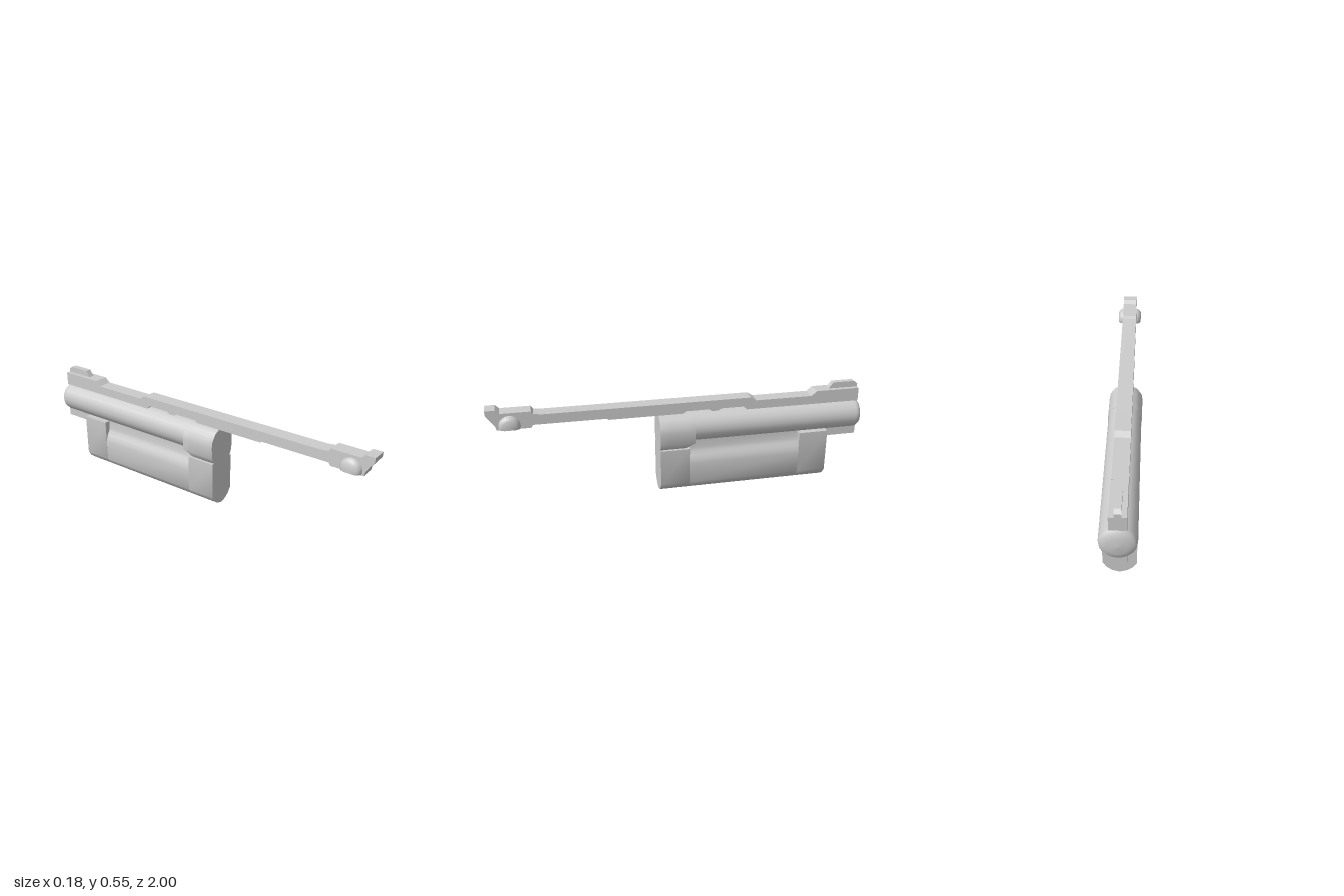
import * as THREE from 'three';
import { toCreasedNormals } from 'three/addons/utils/BufferGeometryUtils.js';

const material = new THREE.MeshStandardMaterial({ color: 0xcccccc });
const CREASE = 0.7;

function part(name, geometry) {
  const mesh = new THREE.Mesh(geometry, material);
  mesh.name = name;
  return mesh;
}

const shapeOf = (points) => new THREE.Shape(points.map(([x, y]) => new THREE.Vector2(x, y)));

// Side outline of [z, y] points, extruded across x
function sideExtrude(points, halfWidth) {
  const g = new THREE.ExtrudeGeometry(shapeOf(points), { depth: halfWidth * 2, bevelEnabled: false });
  g.translate(0, 0, -halfWidth).rotateY(-Math.PI / 2);
  return toCreasedNormals(g, 0.4);
}

// Right half of a cross-section (bottom to top), mirrored and extruded from zBack to zFront
function sectionExtrude(half, zBack, zFront, steps = 1) {
  const other = half.filter(([x]) => x > 0).map(([x, y]) => [-x, y]).reverse();
  const g = new THREE.ExtrudeGeometry(shapeOf([...half, ...other]), { depth: zFront - zBack, bevelEnabled: false, steps });
  return g.translate(0, 0, zBack);
}

export function createModel() {
  const model = new THREE.Group();

  // Long top arm with stepped upper edge and relieved underside
  model.add(part('topArm', sideExtrude([
    [1, 0.545], [0.95, 0.545], [0.93, 0.526], [0.775, 0.526], [0.765, 0.511], [0.72, 0.506],
    [-0.37, 0.506], [-0.4, 0.487], [-0.71, 0.487], [-0.74, 0.512], [-0.98, 0.512], [-0.98, 0.44],
    [-0.35, 0.44], [-0.33, 0.458], [-0.21, 0.458], [-0.19, 0.447], [-0.16, 0.447], [-0.14, 0.458],
    [-0.02, 0.458], [0, 0.446], [0.39, 0.446], [0.4, 0.453], [0.77, 0.453], [0.78, 0.438],
    [0.95, 0.438], [0.955, 0.46], [0.998, 0.52],
  ], 0.04)));

  // Narrow ridge at the rear of the arm
  model.add(part('rearRidge', sideExtrude([
    [-0.81, 0.505], [-0.84, 0.545], [-0.96, 0.545], [-0.98, 0.53], [-0.98, 0.505],
  ], 0.016)));

  // Rounded knobs at the arm's front, cut flat underneath
  const knobProfile = [[0, -0.067], [0.034, -0.067], [0.046, -0.06], [0.055, -0.045],
    [0.055, 0.045], [0.046, 0.06], [0.034, 0.067], [0, 0.067]].map(([r, y]) => new THREE.Vector2(r, y));
  const knob = new THREE.LatheGeometry(knobProfile, 20).rotateZ(Math.PI / 2);
  const kp = knob.attributes.position;
  for (let i = 0; i < kp.count; i++) kp.setY(i, Math.max(kp.getY(i), -0.014));
  knob.translate(0, 0.457, 0.885);
  model.add(part('frontKnobs', toCreasedNormals(knob, CREASE)));

  // Main tube with a domed rear end
  const tubeProfile = [[0.086, -0.1], [0.086, 0.96], [0.083, 0.977], [0.074, 0.988], [0.045, 0.997], [0, 1]]
    .map(([r, y]) => new THREE.Vector2(r, y));
  const tube = new THREE.LatheGeometry(tubeProfile, 20).rotateX(-Math.PI / 2).scale(1, 0.96, 1).translate(0, 0.361, 0);
  model.add(part('mainTube', tube));

  // Front collar of the tube, narrowing to a neck and rising underneath at its back
  const collar = sectionExtrude([
    [0.062, 0.255], [0.071, 0.262], [0.085, 0.29], [0.089, 0.355], [0.084, 0.387], [0.058, 0.424], [0.028, 0.438],
  ], -0.06, 0.13, 4);
  const cp = collar.attributes.position;
  for (let i = 0; i < cp.count; i++) if (cp.getZ(i) < -0.05) cp.setY(i, Math.max(cp.getY(i), 0.285));
  model.add(part('tubeCollar', toCreasedNormals(collar, CREASE)));

  // Lower body: front block, recessed middle and taller rear block
  const keel = [[0, 0], [0.037, 0.012], [0.062, 0.032], [0.08, 0.06]];
  const recess = [[0.08, 0.172], [0.077, 0.19], [0.068, 0.212], [0.056, 0.232], [0.05, 0.25], [0.05, 0.3]];
  const sections = [
    ['bodyFrontBlock', [[0.082, 0.258]], -0.03, 0.13],
    ['bodyRecess', recess, -0.64, -0.03],
    ['bodyRearBlock', [[0.082, 0.292]], -0.8, -0.64],
  ];
  for (const [name, upper, back, front] of sections) {
    model.add(part(name, toCreasedNormals(sectionExtrude([...keel, ...upper], back, front), CREASE)));
  }

  // Rail beneath the tube behind the body
  model.add(part('rearRail', new THREE.BoxGeometry(0.08, 0.05, 0.19).translate(0, 0.27, -0.885)));

  return model;
}
